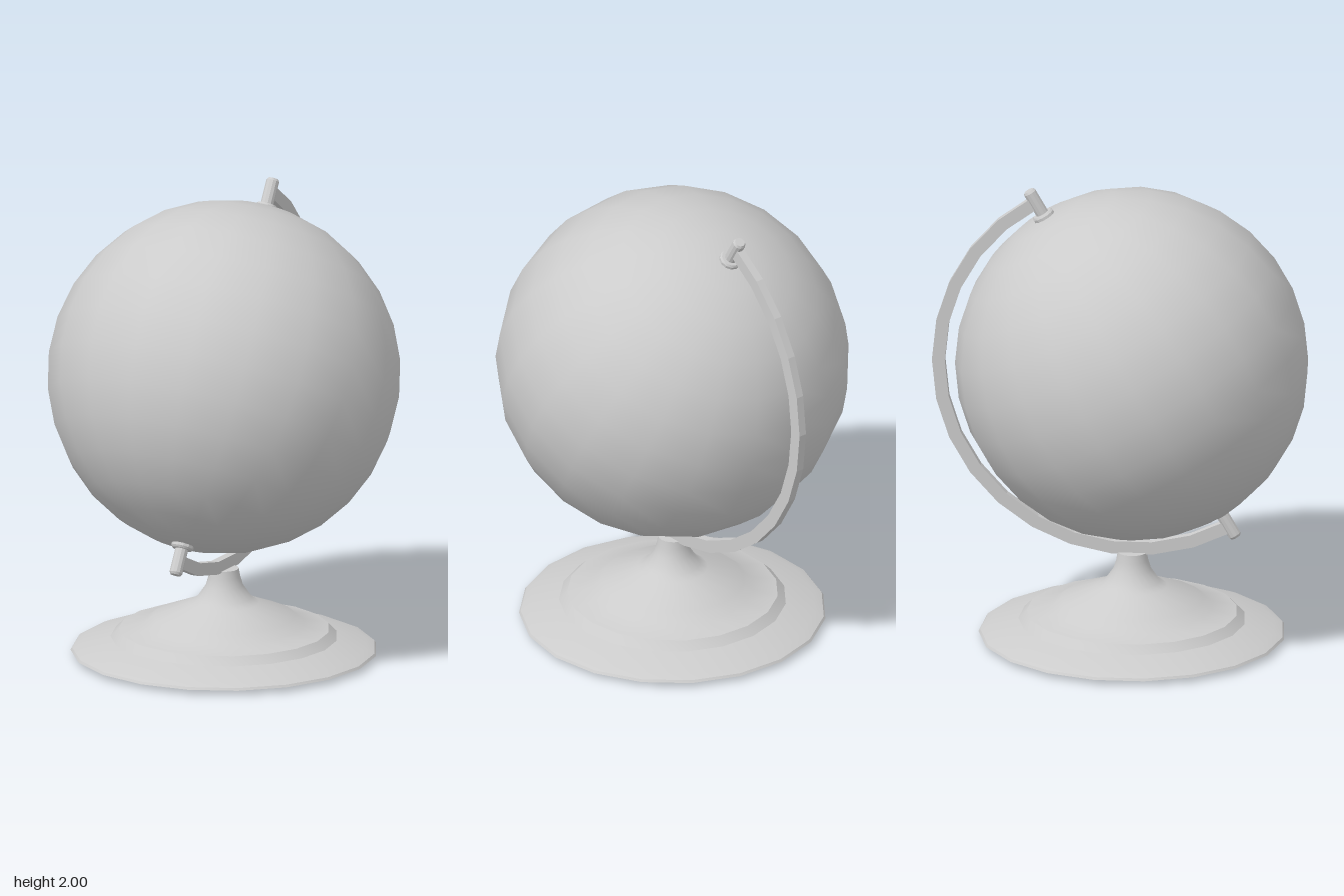
import * as THREE from 'three';
import { toCreasedNormals } from 'three/addons/utils/BufferGeometryUtils.js';

const SIDES = 19;
const RADIUS = 0.755;
const TILT = Math.PI / 6;

export function createModel() {
  const model = new THREE.Group();
  model.name = 'deskGlobe';
  const material = new THREE.MeshStandardMaterial({ color: 0xcccccc });

  const add = (parent, name, geometry) => {
    const mesh = new THREE.Mesh(geometry, material);
    mesh.name = name;
    parent.add(mesh);
    return mesh;
  };
  const lathe = (profile, sides, start = 0) => toCreasedNormals(
    new THREE.LatheGeometry(profile.map(([r, y]) => new THREE.Vector2(r, y)), sides, start), 0.5);

  // Stepped round foot rising into a narrow neck
  add(model, 'base', lathe([
    [0, 0], [0.655, 0.02], [0.648, 0.03], [0.612, 0.046], [0.485, 0.08],
    [0.45, 0.115], [0.345, 0.138], [0.305, 0.17], [0.15, 0.23], [0.118, 0.25],
    [0.08, 0.305], [0.068, 0.345], [0.062, 0.38], [0, 0.38],
  ], SIDES, Math.PI / 2));

  // Everything on the leaning axis
  const tilted = new THREE.Group();
  tilted.name = 'tiltedAssembly';
  tilted.position.y = 1.225;
  tilted.rotation.x = -TILT;
  model.add(tilted);

  add(tilted, 'sphere', new THREE.SphereGeometry(RADIUS, SIDES, 15, Math.PI));

  // Pivot pin with a collar at each pole
  for (const [name, flip] of [['topPivot', 0], ['bottomPivot', Math.PI]]) {
    const pivot = add(tilted, name, lathe([
      [0, 0.735], [0.048, 0.735], [0.048, 0.762], [0.042, 0.77], [0.028, 0.77],
      [0.028, 0.875], [0.022, 0.885], [0, 0.885],
    ], 12));
    pivot.rotation.x = flip;
  }

  // Half-ring arm running behind the sphere from pole to pole
  const steps = 15;
  const arc = (r) => Array.from({ length: steps + 1 }, (_, i) => {
    const a = Math.PI / 2 - (i / steps) * Math.PI;
    return new THREE.Vector2(r * Math.cos(a), r * Math.sin(a));
  });
  const band = new THREE.Shape([...arc(0.8), ...arc(0.855).reverse()]);
  const armGeometry = new THREE.ExtrudeGeometry(band, { depth: 0.036, bevelEnabled: false });
  armGeometry.translate(0, 0, -0.018);
  armGeometry.rotateY(Math.PI / 2);
  add(tilted, 'arm', armGeometry);

  model.position.set(-0.006, 0, 0.055);
  const root = new THREE.Group();
  root.name = 'globeOnStand';
  root.add(model);
  return root;
}
